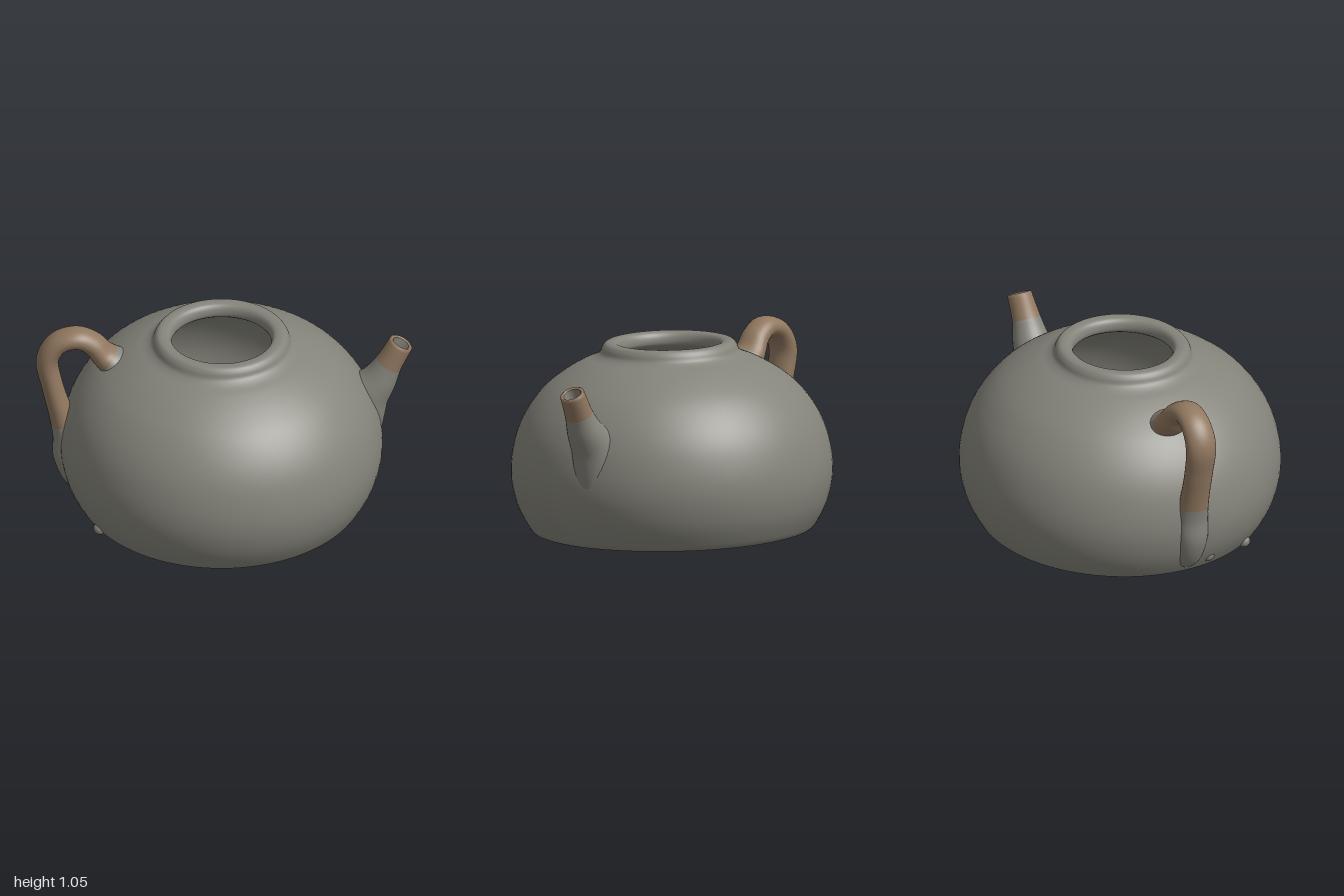
import * as THREE from 'three';

const V = (x, y, z = 0) => new THREE.Vector3(x, y, z);

// Cross-section ring: centre p, direction t (in the xy plane), in-plane and sideways radii
const ring = (p, t, rn, rb) => ({ p, t, rn, rb });

// Skin a row of elliptical rings
function skin(rings, sides = 28) {
  const pos = [], idx = [];
  rings.forEach(({ p, t, rn, rb }, i) => {
    for (let j = 0; j < sides; j++) {
      const a = (j / sides) * Math.PI * 2, c = Math.cos(a) * rn;
      pos.push(p.x - t.y * c, p.y + t.x * c, p.z + Math.sin(a) * rb);
      if (i < rings.length - 1) {
        const a0 = i * sides + j, b0 = i * sides + (j + 1) % sides;
        idx.push(a0, b0, a0 + sides, b0, b0 + sides, a0 + sides);
      }
    }
  });
  const g = new THREE.BufferGeometry();
  g.setAttribute('position', new THREE.Float32BufferAttribute(pos, 3));
  g.setIndex(idx);
  g.computeVertexNormals();
  return g;
}

// Rows of [x, y, z, in-plane radius, sideways radius]; samples rows from..to
function sweepRings(rows, from, to, steps) {
  const path = new THREE.CatmullRomCurve3(rows.map(r => V(r[0], r[1], r[2])), false, 'catmullrom');
  const size = new THREE.CatmullRomCurve3(rows.map(r => V(r[3], r[4])), false, 'catmullrom');
  const out = [];
  for (let i = 0; i <= steps; i++) {
    const u = (from + (to - from) * i / steps) / (rows.length - 1);
    const t = path.getTangent(u).setZ(0).normalize(), s = size.getPoint(u);
    out.push(ring(path.getPoint(u), t, s.x, s.y));
  }
  return out;
}

export function createModel() {
  const root = new THREE.Group();
  const mat = (name, color) => {
    const m = new THREE.MeshStandardMaterial({ color });
    m.name = name;
    return m;
  };
  const glaze = mat('grey glaze', 0x85847b);
  const clay = mat('bare brown clay', 0x90775f);
  const rust = mat('dark rust clay', 0x7c604a);
  const add = (parent, name, geo, m) => {
    const mesh = new THREE.Mesh(geo, m);
    mesh.name = name;
    parent.add(mesh);
    return mesh;
  };

  // Squat hollow body, leaning very slightly forward
  const pot = new THREE.Group();
  pot.name = 'pot';
  pot.position.set(-0.015, 0, -0.012);
  pot.rotation.x = 0.026;
  root.add(pot);
  const profile = [
    [0, 0.05], [0.4, 0.05], [0.655, 0.047], [0.685, 0.032], [0.715, 0.025], [0.745, 0.034],
    [0.775, 0.075], [0.82, 0.165], [0.848, 0.27], [0.855, 0.36], [0.845, 0.46], [0.812, 0.58],
    [0.755, 0.69], [0.665, 0.8], [0.56, 0.88], [0.46, 0.935], [0.4, 0.96], [0.37, 0.982],
    [0.357, 1.012], [0.338, 1.033], [0.31, 1.037], [0.282, 1.03], [0.267, 1.005], [0.27, 0.965],
    [0.36, 0.92], [0.54, 0.82], [0.7, 0.65], [0.78, 0.42], [0.75, 0.2], [0.66, 0.1], [0.3, 0.085], [0, 0.085],
  ];
  const pts = new THREE.CatmullRomCurve3(profile.map(p => V(p[0], p[1]))).getPoints(124)
    .map(p => new THREE.Vector2(Math.max(0, p.x), p.y));
  add(pot, 'body', new THREE.LatheGeometry(pts, 96), glaze);

  // Bare clay marks under the foot, drawn on a plane facing down
  const under = new THREE.Group();
  under.name = 'underside marks';
  const s = Math.SQRT1_2;
  under.quaternion.setFromRotationMatrix(
    new THREE.Matrix4().makeBasis(V(-s, 0, -s), V(s, 0, -s), V(0, -1, 0)));
  pot.add(under);
  const patch = (name, corners, m, y) => {
    const shape = new THREE.Shape(corners.map(c => new THREE.Vector2(...c)));
    add(under, name, new THREE.ShapeGeometry(shape), m).position.z = -y;
  };
  patch('large clay patch', [[-0.63, 0.13], [-0.51, 0.36], [-0.37, 0.41], [-0.17, 0.19], [-0.14, -0.01],
    [-0.01, -0.2], [-0.11, -0.49], [-0.26, -0.49], [-0.6, -0.2]], clay, 0.044);
  patch('square clay patch', [[-0.05, 0.24], [0.18, 0.23], [0.19, 0.13], [0.11, -0.1],
    [-0.09, -0.05], [-0.09, 0.07]], clay, 0.042);
  patch('rust streak', [[-0.35, 0.26], [-0.31, 0.3], [-0.07, 0.1], [-0.12, 0.05]], rust, 0.041);
  for (const x of [-0.4, -0.33])
    add(under, 'rust spot', new THREE.CircleGeometry(0.025, 16), rust).position.set(x, 0, -0.041);
  add(under, 'rust band', new THREE.RingGeometry(0.59, 0.65, 48, 1, -1.4, 2.2), rust).position.z = -0.044;
  add(under, 'foot ring', new THREE.RingGeometry(0.695, 0.735, 72), rust).position.z = -0.023;

  // Spout: glazed root, bare clay tip with a bored hole
  const spout = [
    [0.68, 0.44, -0.1, 0.17, 0.13], [0.75, 0.58, -0.1, 0.128, 0.118], [0.82, 0.68, -0.1, 0.096, 0.1],
    [0.873, 0.78, -0.1, 0.073, 0.078], [0.938, 0.9, -0.107, 0.066, 0.066],
  ];
  add(root, 'spoutRoot', skin(sweepRings(spout, 0, 3, 24)), glaze);
  const tip = sweepRings(spout, 3, 4, 10);
  const end = tip[tip.length - 1];
  const inward = (d, r) => ring(end.p.clone().addScaledVector(end.t, -d), end.t, r, r);
  tip.push(inward(-0.006, 0.056), inward(0.002, 0.047));
  add(root, 'spoutTip', skin(tip), clay);
  add(root, 'spoutBore', skin([inward(0.002, 0.047), inward(0.05, 0.042),
    inward(0.14, 0.036), inward(0.14, 0.0001)]), glaze);

  // Ear handle: clay loop ending in glazed joins on the body
  const handle = [
    [-0.54, 0.8, -0.02, 0.1, 0.12], [-0.635, 0.88, -0.02, 0.068, 0.095], [-0.7, 0.96, -0.01, 0.06, 0.082],
    [-0.785, 1.0, 0, 0.057, 0.08], [-0.885, 0.965, 0, 0.058, 0.082], [-0.939, 0.86, 0, 0.06, 0.085],
    [-0.912, 0.7, 0, 0.058, 0.08], [-0.87, 0.54, 0, 0.064, 0.08], [-0.84, 0.4, 0, 0.071, 0.085],
    [-0.835, 0.27, 0, 0.073, 0.085], [-0.79, 0.14, 0, 0.06, 0.07], [-0.73, 0.08, 0, 0.03, 0.04],
  ];
  add(root, 'handleUpperJoin', skin(sweepRings(handle, 0, 0.8, 8)), glaze);
  add(root, 'handleLoop', skin(sweepRings(handle, 0.8, 7.4, 60)), clay);
  add(root, 'handleLowerJoin', skin(sweepRings(handle, 7.4, 11, 30)), glaze);

  // Small glaze drips beside the lower join
  for (const [x, y, z, r] of [[-0.66, 0.06, 0.4, 0.035], [-0.76, 0.1, 0.13, 0.04]])
    add(root, 'glazeDrip', new THREE.SphereGeometry(r, 16, 12), glaze).position.set(x, y, z);

  return root;
}
